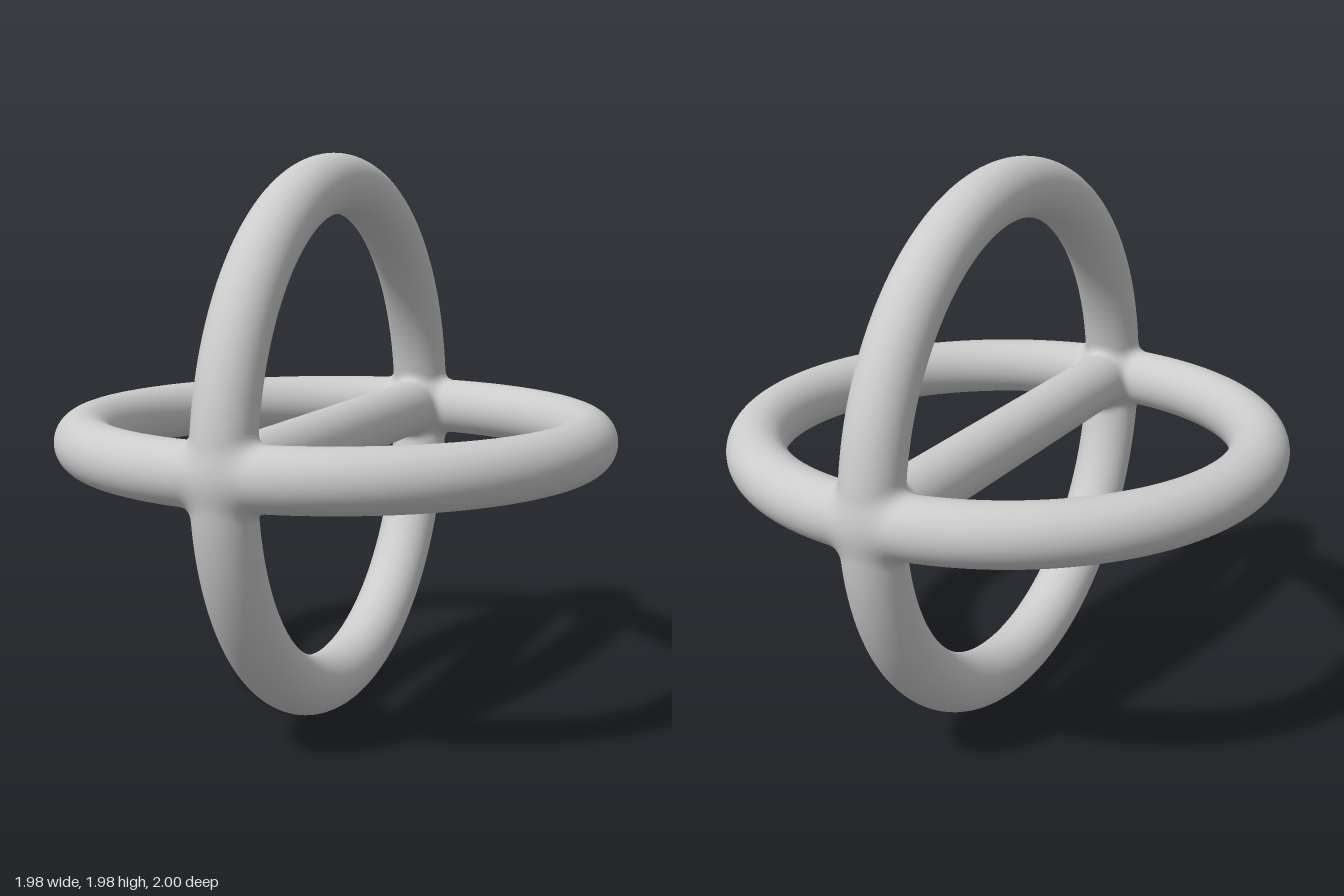
import * as THREE from 'three';

const RING = 0.885;   // centre-line radius of the rings
const TUBE = 0.105;   // thickness radius of every tube
const HALF_BAR = 0.85;
const BLEND = 0.04;   // size of the soft fillet at the joints

// Distance from a point to the surface of each part
const distances = {
  horizontalRing: (p) => Math.hypot(Math.hypot(p.x, p.z) - RING, p.y) - TUBE,
  verticalRing: (p) => Math.hypot(Math.hypot(p.y, p.z) - RING, p.x) - TUBE,
  crossBar: (p) => Math.hypot(p.x, p.y, Math.max(Math.abs(p.z) - HALF_BAR, 0)) - TUBE,
};

function smoothMin(a, b) {
  const h = Math.max(BLEND - Math.abs(a - b), 0) / BLEND;
  return Math.min(a, b) - h * h * BLEND / 4;
}

// Distance to the whole body with softened joints
const body = (p) => Object.values(distances).map((d) => d(p)).reduce(smoothMin);

function gradient(p) {
  const g = new THREE.Vector3();
  const q = new THREE.Vector3();
  const e = 0.0005;
  for (const axis of ['x', 'y', 'z']) {
    q.copy(p)[axis] += e;
    const ahead = body(q);
    q[axis] -= 2 * e;
    g[axis] = (ahead - body(q)) / (2 * e);
  }
  return g;
}

// Pull the vertices near a joint onto the blended surface; buried ones stay inside
function blendJoints(geometry, name) {
  const others = Object.keys(distances).filter((n) => n !== name).map((n) => distances[n]);
  const pos = geometry.attributes.position;
  const p = new THREE.Vector3();
  for (let i = 0; i < pos.count; i++) {
    p.fromBufferAttribute(pos, i);
    const gap = Math.min(...others.map((d) => d(p)));
    if (gap > BLEND || gap < -0.02) continue;
    for (let step = 0; step < 5; step++) {
      const g = gradient(p);
      p.addScaledVector(g, -body(p) / Math.max(g.lengthSq(), 0.2));
    }
    const n = gradient(p).normalize();
    pos.setXYZ(i, p.x, p.y, p.z);
    geometry.attributes.normal.setXYZ(i, n.x, n.y, n.z);
  }
  return geometry;
}

export function createModel() {
  const group = new THREE.Group();
  group.name = 'crossedRings';
  const material = new THREE.MeshStandardMaterial({ color: 0xcccccc });
  const ring = () => new THREE.TorusGeometry(RING, TUBE, 48, 400);

  const parts = {
    // Ring lying flat
    horizontalRing: ring().rotateX(Math.PI / 2),
    // Ring standing upright, front to back
    verticalRing: ring().rotateY(Math.PI / 2),
    // Straight bar joining the two crossings
    crossBar: new THREE.CylinderGeometry(TUBE, TUBE, 2 * HALF_BAR, 48, 140, true).rotateX(Math.PI / 2),
  };
  for (const [name, geometry] of Object.entries(parts)) {
    const mesh = new THREE.Mesh(blendJoints(geometry, name), material);
    mesh.name = name;
    mesh.position.y = 1;
    group.add(mesh);
  }
  return group;
}
